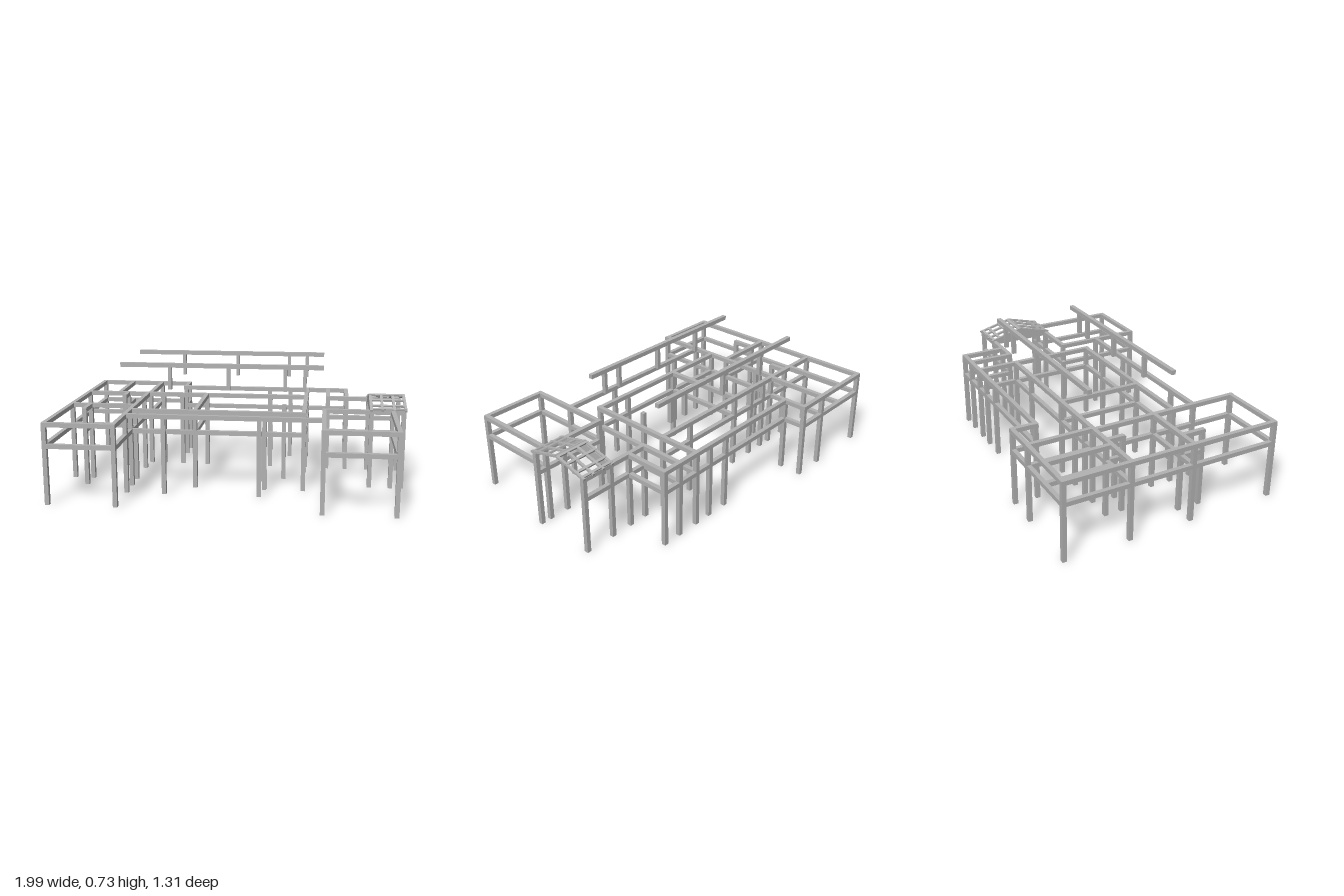
import * as THREE from 'three';

export function createModel() {
  const root = new THREE.Group();
  root.name = 'houseFrame';
  const timber = new THREE.MeshStandardMaterial({ color: 0xb2b2b2 });
  timber.name = 'grey timber';
  const W = 0.025; // section of posts and beams

  const group = (name) => {
    const g = new THREE.Group();
    g.name = name;
    root.add(g);
    return g;
  };
  // Box given by its low and high corners
  const bar = (parent, name, x0, x1, y0, y1, z0, z1) => {
    const m = new THREE.Mesh(new THREE.BoxGeometry(x1 - x0, y1 - y0, z1 - z0), timber);
    m.position.set((x0 + x1) / 2, (y0 + y1) / 2, (z0 + z1) / 2);
    m.name = name;
    parent.add(m);
    return m;
  };
  const h = W / 2;
  const alongX = (p, name, x0, x1, z, y) => bar(p, name, x0, x1, y, y + W, z - h, z + h);
  const alongZ = (p, name, x, z0, z1, y) => bar(p, name, x - h, x + h, y, y + W, z0, z1);

  // Wall lines along x: [x0, x1, z, has middle rail]
  const wallsX = [
    [-1, -0.39, -0.645, 1], [-0.415, 0.665, -0.51, 1], [-1, 0.415, -0.265, 1],
    [0.53, 0.985, -0.25, 1], [-1, -0.6, 0.11, 1], [-0.61, 0.415, 0.235, 1],
    [-0.61, 0.52, 0.37, 0], [-1, -0.595, 0.63, 1], [0.51, 0.985, 0.125, 1],
    [0.51, 0.92, 0.64, 1],
  ];
  // Wall lines along z: [x, z0, z1, has middle rail]
  const wallsZ = [
    [-0.988, -0.655, 0.64, 1], [-0.79, -0.65, -0.26, 1], [-0.59, -0.65, -0.26, 1],
    [-0.4, -0.655, -0.5, 1], [-0.605, -0.265, 0.645, 1], [-0.735, -0.265, -0.16, 1],
    [-0.875, 0.11, 0.25, 1], [-0.225, -0.26, 0.24, 1], [0.405, -0.52, 0.25, 1],
    [0.54, -0.515, -0.245, 1], [0.655, -0.52, -0.24, 1], [0.52, 0.115, 0.65, 1],
    [0.912, 0.12, 0.65, 1],
  ];
  const beams = group('topBeams');
  const rails = group('middleRails');
  for (const [x0, x1, z, rail] of wallsX) {
    alongX(beams, 'topBeam', x0, x1, z, 0.44);
    if (rail) alongX(rails, 'middleRail', x0, x1, z, 0.32);
  }
  for (const [x, z0, z1, rail] of wallsZ) {
    alongZ(beams, 'topBeam', x, z0, z1, 0.44);
    if (rail) alongZ(rails, 'middleRail', x, z0, z1, 0.32);
  }

  // Posts by [x, z]
  const posts = group('posts');
  [
    [-0.988, -0.645], [-0.59, -0.645], [-0.4, -0.645],
    [-0.4, -0.51], [0.16, -0.51], [0.295, -0.51], [0.405, -0.51], [0.54, -0.51], [0.655, -0.51],
    [-0.988, -0.265], [-0.735, -0.265], [-0.59, -0.265], [-0.505, -0.265], [-0.385, -0.265],
    [-0.225, -0.265], [0.18, -0.265], [0.405, -0.265],
    [0.54, -0.25], [0.655, -0.25], [0.79, -0.25], [0.975, -0.25],
    [-0.735, -0.165], [-0.605, -0.135], [0.28, 0.005],
    [-0.988, 0.11], [-0.875, 0.11], [-0.605, 0.11], [-0.875, 0.24],
    [0.52, 0.125], [0.79, 0.125], [0.912, 0.125], [0.975, 0.125],
    [-0.605, 0.235], [-0.225, 0.235], [0.18, 0.235], [0.405, 0.235],
    [-0.605, 0.37], [-0.385, 0.37], [0.16, 0.37], [0.52, 0.37],
    [-0.988, 0.63], [-0.605, 0.63], [0.52, 0.64], [0.912, 0.64],
  ].forEach(([x, z]) => bar(posts, 'post', x - h, x + h, 0, 0.46, z - h, z + h));

  // Raised roof purlins on short struts
  const purlins = group('raisedPurlins');
  for (const z of [0.185, -0.323]) {
    alongX(purlins, 'raisedPurlin', -0.665, 0.51, z, 0.705 - 0.002);
    for (const x of [-0.375, -0.033, 0.293, 0.405])
      bar(purlins, 'strut', x - 0.01, x + 0.01, 0.575, 0.705, z - h, z + h);
  }

  // Side porch roof: gable panel, sloping rafters and battens
  const porch = group('porchRoof');
  const ridgeZ = -0.063, ridgeY = 0.518, eaveY = 0.464, half = 0.207;
  const outline = new THREE.Shape([
    new THREE.Vector2(-0.195, 0.44), new THREE.Vector2(0.195, 0.44),
    new THREE.Vector2(0.195, eaveY), new THREE.Vector2(0, ridgeY - 0.004),
    new THREE.Vector2(-0.195, eaveY),
  ]);
  const gable = new THREE.Mesh(
    new THREE.ExtrudeGeometry(outline, { depth: 0.018, bevelEnabled: false }), timber);
  gable.name = 'gablePanel';
  gable.rotation.y = Math.PI / 2;
  gable.position.set(0.782, 0, ridgeZ);
  porch.add(gable);

  const rise = ridgeY - eaveY;
  const slope = Math.atan2(rise, half);
  for (const s of [-1, 1]) {
    for (const x of [0.788, 0.852, 0.92, 0.985]) {
      const r = new THREE.Mesh(new THREE.BoxGeometry(0.015, 0.012, Math.hypot(half, rise)), timber);
      r.position.set(x, (ridgeY + eaveY) / 2, ridgeZ + s * half / 2);
      r.rotation.x = s * slope;
      r.name = 'rafter';
      porch.add(r);
    }
    for (const d of [0.008, 0.075, 0.148, 0.19]) {
      const b = new THREE.Mesh(new THREE.BoxGeometry(0.212, 0.01, 0.015), timber);
      b.position.set(0.885, ridgeY + 0.002 - rise * d / half, ridgeZ + s * d);
      b.rotation.x = s * slope;
      b.name = 'batten';
      porch.add(b);
    }
  }
  return root;
}
